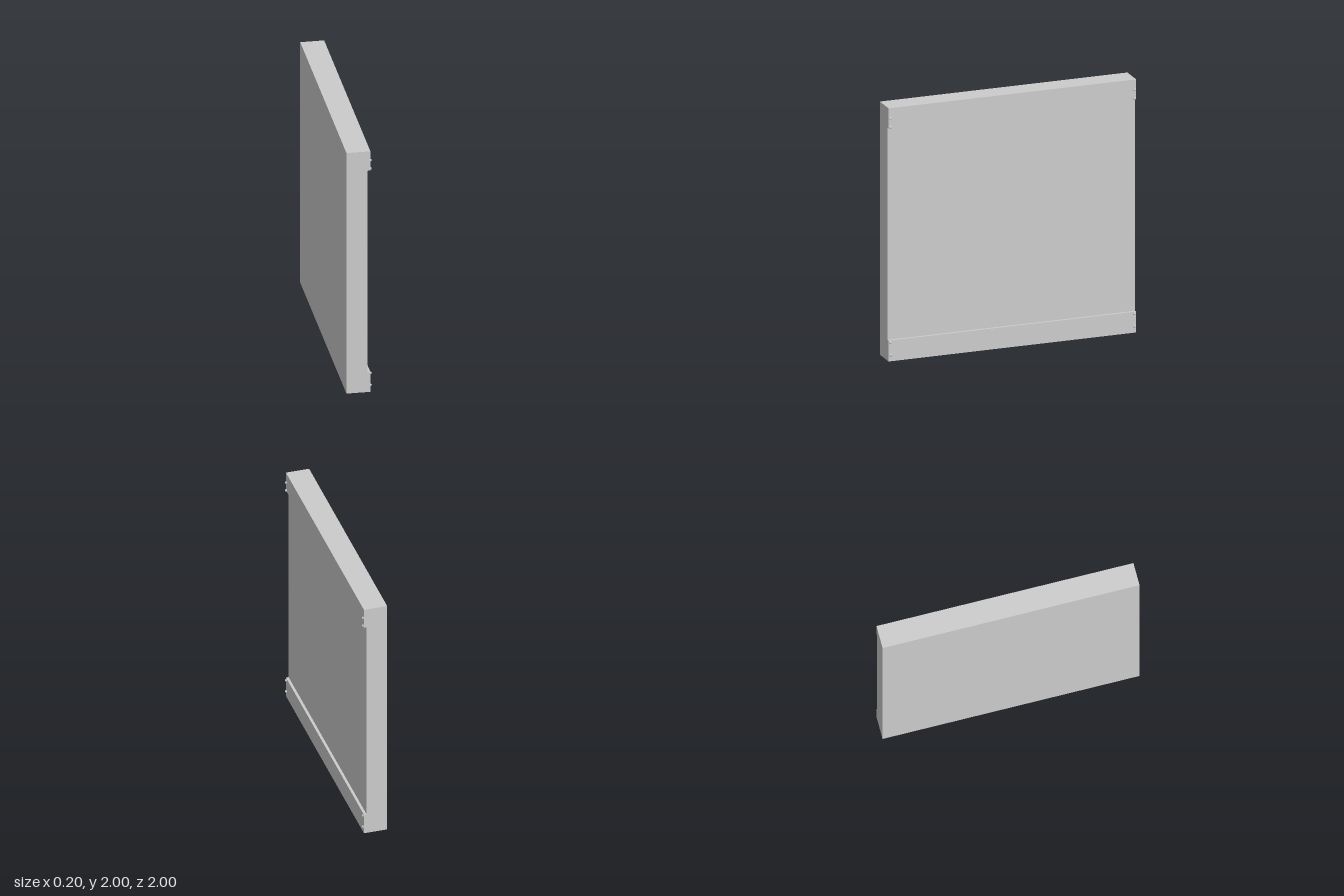
import * as THREE from 'three';

export function createModel() {
  const group = new THREE.Group();
  const material = new THREE.MeshStandardMaterial({ color: 0xcccccc });

  const back = -0.098, face = 0.064, rail = 0.085; // x of back, recessed face and rail faces
  const lowerRail = 0.165, upperRail = 1.84;       // y of the rail edges

  // Panel with a raised rail along the top and bottom, one profile swept along z
  const profile = new THREE.Shape([
    [back, 0], [rail, 0], [rail, lowerRail], [face, lowerRail],
    [face, upperRail], [rail, upperRail], [rail, 2], [back, 2],
  ].map(([x, y]) => new THREE.Vector2(x, y)));
  const panelGeometry = new THREE.ExtrudeGeometry(profile, { depth: 2, bevelEnabled: false });
  panelGeometry.translate(0, 0, -1);
  const panel = new THREE.Mesh(panelGeometry, material);
  panel.name = 'panelWithRails';
  group.add(panel);

  // Small round studs, two at each end of each rail
  const studs = new THREE.Group();
  studs.name = 'railStuds';
  const studGeometry = new THREE.SphereGeometry(0.01, 16, 12);
  for (const y of [0.05, 0.15, 1.85, 1.92]) {
    for (const z of [-0.985, 0.985]) {
      const stud = new THREE.Mesh(studGeometry, material);
      stud.name = 'stud';
      stud.position.set(0.088, y, z);
      studs.add(stud);
    }
  }
  group.add(studs);

  return group;
}
